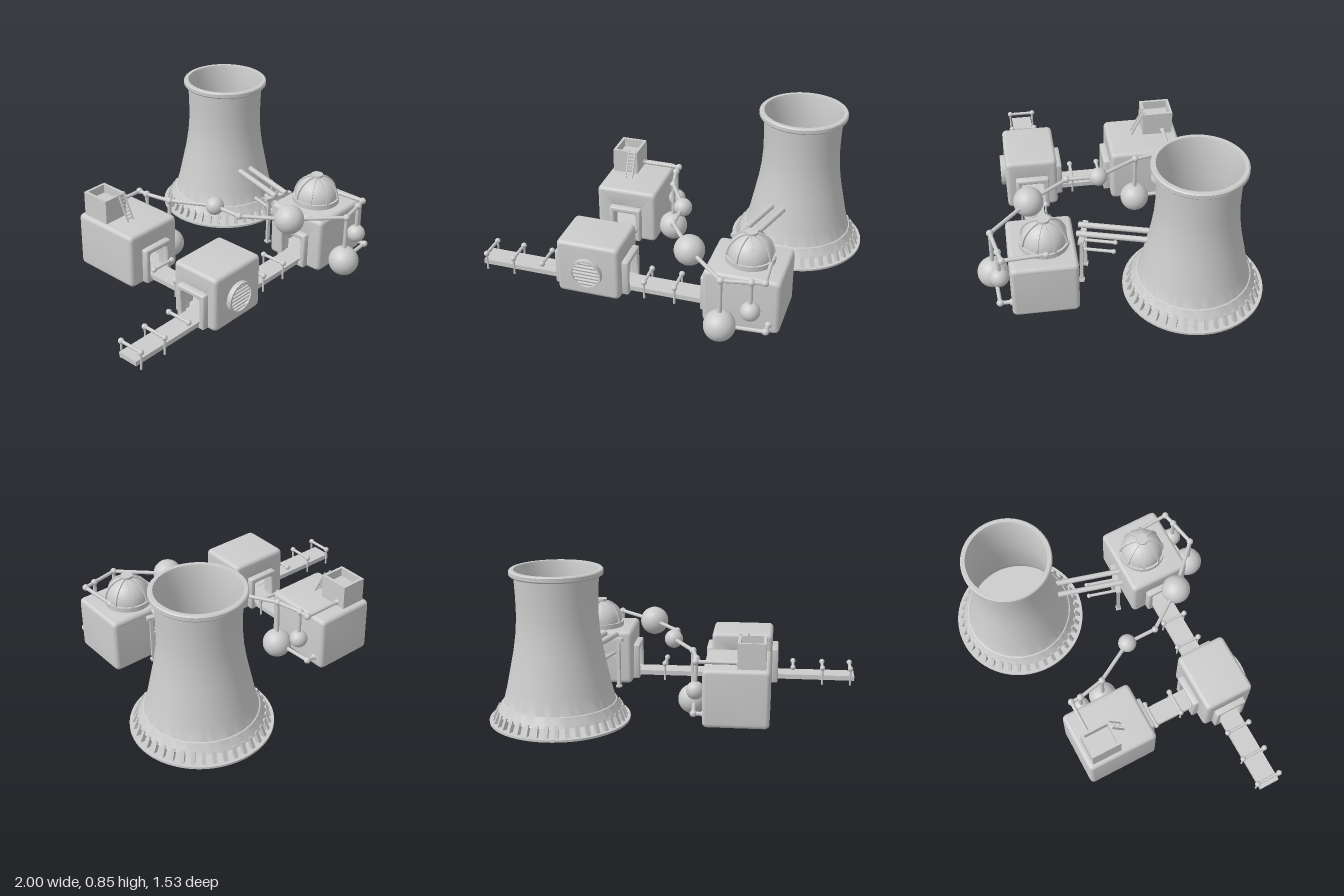
import * as THREE from 'three';
import { toCreasedNormals } from 'three/addons/utils/BufferGeometryUtils.js';

const mat = new THREE.MeshStandardMaterial({ color: 0xcccccc });
const V = (x, y, z) => new THREE.Vector3(x, y, z);

function add(parent, name, geo, x = 0, y = 0, z = 0) {
  const m = new THREE.Mesh(geo, mat);
  m.name = name;
  m.position.set(x, y, z);
  parent.add(m);
  return m;
}

function sub(parent, name, x = 0, y = 0, z = 0, ry = 0) {
  const g = new THREE.Group();
  g.name = name;
  g.position.set(x, y, z);
  g.rotation.y = ry;
  parent.add(g);
  return g;
}

const box = (p, name, w, h, d, x, y, z) => add(p, name, new THREE.BoxGeometry(w, h, d), x, y, z);
const ball = (p, name, r, v) => add(p, name, new THREE.SphereGeometry(r, 32, 20), v.x, v.y, v.z);

// straight round bar between two points
function rod(p, name, a, b, r) {
  const m = add(p, name, new THREE.CylinderGeometry(r, r, a.distanceTo(b), 14));
  m.position.copy(a).lerp(b, 0.5);
  m.quaternion.setFromUnitVectors(V(0, 1, 0), b.clone().sub(a).normalize());
  return m;
}

// chain of pipes with a round joint at each point
function pipeRun(p, name, pts, r = 0.011) {
  const g = sub(p, name);
  pts.forEach((v, i) => {
    ball(g, 'pipeJoint', r * 1.75, v);
    if (i) rod(g, 'pipe', pts[i - 1], v, r);
  });
}

function roundRect(path, w, h, r, cy = 0) {
  const x = w / 2, b = cy - h / 2, t = cy + h / 2;
  path.moveTo(-x + r, b).lineTo(x - r, b).quadraticCurveTo(x, b, x, b + r);
  path.lineTo(x, t - r).quadraticCurveTo(x, t, x - r, t);
  path.lineTo(-x + r, t).quadraticCurveTo(-x, t, -x, t - r);
  path.lineTo(-x, b + r).quadraticCurveTo(-x, b, -x + r, b);
  return path;
}

// rounded plate with its outer face at z = 0 and an optional doorway
function panel(w, h, t, bevel, hole) {
  const s = roundRect(new THREE.Shape(), w, h, bevel * 1.4);
  if (hole) s.holes.push(roundRect(new THREE.Path(), hole.w, hole.h, 0.015, hole.y));
  const g = new THREE.ExtrudeGeometry(s, {
    depth: t - 2 * bevel, bevelEnabled: true, bevelThickness: bevel, bevelSize: bevel,
    bevelOffset: -bevel, bevelSegments: 4, curveSegments: 5
  });
  g.translate(0, 0, bevel - t);
  return toCreasedNormals(g, 0.6);
}

// hollow housing; ports lists the sides with a doorway (0 front, 1 left, 2 back, 3 right)
const Y0 = 0.022, H = 0.32;
function housing(root, name, x, z, w, d, ports) {
  const g = sub(root, name, x, Y0 + H / 2, z);
  for (let i = 0; i < 4; i++) {
    const width = i % 2 ? d : w, dist = (i % 2 ? w : d) / 2, a = i * Math.PI / 2;
    const side = sub(g, 'side', Math.sin(a) * dist, 0, Math.cos(a) * dist, a);
    const open = ports.includes(i);
    add(side, 'wall', panel(width, H, 0.05, 0.022, open && { w: 0.14, h: 0.15, y: -0.047 }));
    if (open) add(side, 'doorFrame', panel(0.19, 0.21, 0.045, 0.008, { w: 0.13, h: 0.15, y: 0 }), 0, -0.047, 0.035);
  }
  for (const s of [1, -1]) {
    const m = add(g, s > 0 ? 'roof' : 'floor', panel(w, d, 0.05, 0.022), 0, s * H / 2, 0);
    m.rotation.x = -s * Math.PI / 2;
  }
  return g;
}

function coolingTower(root) {
  const g = sub(root, 'coolingTower', 0.62, 0, -0.387);
  const pts = [[0.325, 0.076], [0.338, 0.078], [0.308, 0.128], [0.301, 0.13], [0.28, 0.21], [0.259, 0.31],
    [0.238, 0.41], [0.223, 0.51], [0.217, 0.6], [0.218, 0.7], [0.223, 0.815], [0.242, 0.815], [0.248, 0.822],
    [0.248, 0.842], [0.242, 0.848], [0.222, 0.848], [0.218, 0.835], [0.207, 0.7], [0.206, 0.6], [0.212, 0.51],
    [0.228, 0.41], [0.249, 0.31], [0.27, 0.21], [0.29, 0.13], [0.325, 0.076]].map(p => new THREE.Vector2(...p));
  add(g, 'shell', toCreasedNormals(new THREE.LatheGeometry(pts, 72), 0.5));
  add(g, 'baseDisc', new THREE.CylinderGeometry(0.38, 0.38, 0.012, 72), 0, 0.028, 0);
  // slanted columns around the foot
  for (let i = 0; i < 40; i++) {
    const c = sub(g, 'column', 0, 0, 0, i * Math.PI / 20);
    box(c, 'columnLeg', 0.02, 0.064, 0.022, 0, 0.06, 0.341).rotation.x = -0.4;
  }
}

// flat belt with low arches across it, running along local x
function conveyor(root, name, x, z, ry, length, arches) {
  const g = sub(root, name, x, 0, z, ry);
  box(g, 'belt', length, 0.028, 0.12, 0, 0.06, 0);
  for (const [ax, posts] of arches) {
    rod(g, 'archBar', V(ax, 0.122, -0.07), V(ax, 0.122, 0.07), 0.009);
    for (const s of [-0.07, 0.07]) {
      ball(g, 'archEnd', 0.016, V(ax, 0.122, s));
      if (posts) rod(g, 'archPost', V(ax, 0.02, s), V(ax, 0.125, s), 0.006);
    }
  }
}

export function createModel() {
  const root = new THREE.Group();
  root.name = 'powerPlant';

  coolingTower(root);
  const rear = housing(root, 'rearHousing', -0.333, -0.27, 0.356, 0.42, [0]);
  const front = housing(root, 'frontHousing', -0.333, 0.408, 0.356, 0.295, [1, 2, 3]);
  const domed = housing(root, 'domedHousing', 0.527, 0.416, 0.412, 0.356, [3]);
  const top = H / 2;

  // open hopper and leaning ladder on the rear housing
  const hopper = sub(rear, 'hopper', -0.079, top, -0.092);
  for (const s of [-1, 1]) {
    box(hopper, 'hopperSide', 0.016, 0.14, 0.175, s * 0.067, 0.07, 0);
    box(hopper, 'hopperEnd', 0.118, 0.14, 0.016, 0, 0.07, s * 0.0795);
  }
  box(hopper, 'hopperFloor', 0.12, 0.09, 0.145, 0, 0.045, 0);
  const ladder = sub(rear, 'ladder', -0.035, top, 0.062);
  ladder.rotation.x = -0.45;
  for (const s of [-1, 1]) box(ladder, 'ladderRail', 0.007, 0.17, 0.009, s * 0.02, 0.083, 0);
  for (let i = 0; i < 8; i++) box(ladder, 'rung', 0.04, 0.006, 0.007, 0, 0.014 + i * 0.02, 0);

  // round slatted vent on the front housing
  const vent = sub(front, 'vent', -0.004, -0.012, 0.1475);
  const ring = new THREE.Shape().absarc(0, 0, 0.088, 0, Math.PI * 2);
  ring.holes.push(new THREE.Path().absarc(0, 0, 0.077, 0, Math.PI * 2, true));
  add(vent, 'ventRing', toCreasedNormals(new THREE.ExtrudeGeometry(ring, { depth: 0.027, bevelEnabled: false, curveSegments: 32 }), 0.6));
  for (let i = -3; i <= 3; i++) {
    const y = i * 0.021;
    box(vent, 'slat', 2 * Math.sqrt(0.08 ** 2 - y * y), 0.011, 0.018, 0, y, 0.011).rotation.x = 0.3;
  }

  // ribbed dome with a cap
  const dome = sub(domed, 'dome', 0, top, -0.016);
  add(dome, 'domeBase', new THREE.CylinderGeometry(0.134, 0.134, 0.028, 48), 0, 0.014, 0);
  add(dome, 'domeShell', new THREE.SphereGeometry(0.122, 48, 16, 0, Math.PI * 2, 0, Math.PI / 2), 0, 0.025, 0);
  for (let i = 0; i < 8; i++) {
    const rib = new THREE.Shape().absarc(0, 0, 0.131, 0, Math.PI / 2).absarc(0, 0, 0.118, Math.PI / 2, 0, true);
    const geo = new THREE.ExtrudeGeometry(rib, { depth: 0.014, bevelEnabled: false, curveSegments: 12 }).translate(0, 0, -0.007);
    add(dome, 'rib', toCreasedNormals(geo, 0.6), 0, 0.024, 0).rotation.y = (i + 0.5) * Math.PI / 4;
  }
  add(dome, 'capNeck', new THREE.CylinderGeometry(0.022, 0.028, 0.02, 24), 0, 0.145, 0);
  add(dome, 'cap', new THREE.CylinderGeometry(0.034, 0.034, 0.014, 24), 0, 0.157, 0);

  // belts through the doorways
  conveyor(root, 'longConveyor', -0.28, 0.413, 0, 1.44,
    [[-0.695, true], [-0.53, true], [-0.355, false], [0.243, true], [0.415, true]]);
  conveyor(root, 'rightConveyor', 0.4, 0.413, 0, 0.16, []);
  conveyor(root, 'crossConveyor', -0.33, 0.1, Math.PI / 2, 0.6, [[-0.063, true], [0.1, false]]);

  // spherical tanks and their pipework
  const tanks = sub(root, 'tanks');
  const P = 0.362;
  [[0.21, P, 0.455, 0.083], [0.048, P, 0.047, 0.052], [0.44, 0.085, 0.678, 0.085], [0.592, 0.185, 0.648, 0.052],
    [-0.083, 0.085, -0.185, 0.082], [-0.108, 0.185, -0.337, 0.05]]
    .forEach(([x, y, z, r]) => ball(tanks, 'tank', r, V(x, y, z)));
  const pipes = sub(root, 'pipework');
  pipeRun(pipes, 'upperPipe', [V(0.645, P, 0.4), V(0.66, P, 0.632), V(0.592, P, 0.648), V(0.44, P, 0.678), V(0.21, P, 0.455),
    V(0.048, P, 0.228), V(0.048, P, 0.047), V(-0.083, P, -0.185), V(-0.115, P, -0.337), V(-0.115, P, -0.395), V(-0.345, P, -0.395)]);
  pipeRun(pipes, 'frontDropPipe', [V(0.44, P, 0.678), V(0.44, 0.1, 0.678)]);
  pipeRun(pipes, 'frontSmallDropPipe', [V(0.592, P, 0.648), V(0.592, 0.2, 0.648)]);
  pipeRun(pipes, 'frontLowPipe', [V(0.44, 0.08, 0.67), V(0.678, 0.08, 0.655), V(0.678, 0.08, 0.59)]);
  pipeRun(pipes, 'rearDropPipe', [V(-0.083, P, -0.185), V(-0.083, 0.1, -0.185)]);
  pipeRun(pipes, 'rearSmallDropPipe', [V(-0.113, P, -0.337), V(-0.108, 0.2, -0.337)]);
  pipeRun(pipes, 'rearLowPipe', [V(-0.09, 0.08, -0.185), V(-0.105, 0.08, -0.417), V(-0.16, 0.08, -0.417)]);

  // trestle carrying pipes to the cooling tower
  const trestle = sub(root, 'trestle', 0.45, 0, 0.185, -0.28);
  box(trestle, 'crossBeam', 0.18, 0.02, 0.03, 0, 0.313, 0);
  box(trestle, 'brace', 0.13, 0.012, 0.014, 0, 0.21, 0);
  for (const s of [-1, 1]) {
    box(trestle, 'post', 0.018, 0.29, 0.018, s * 0.065, 0.17, 0);
    box(trestle, 'foot', 0.03, 0.012, 0.03, s * 0.065, 0.03, 0);
    rod(trestle, 'towerPipe', V(s * 0.036, 0.336, 0.03), V(s * 0.036, 0.336, -0.36), 0.016);
    rod(trestle, 'lowerPipe', V(s * 0.036, 0.23, 0.01), V(s * 0.036, 0.23, -0.17), 0.009);
    ball(trestle, 'lowerPipeEnd', 0.013, V(s * 0.036, 0.23, -0.17));
  }
  return root;
}
